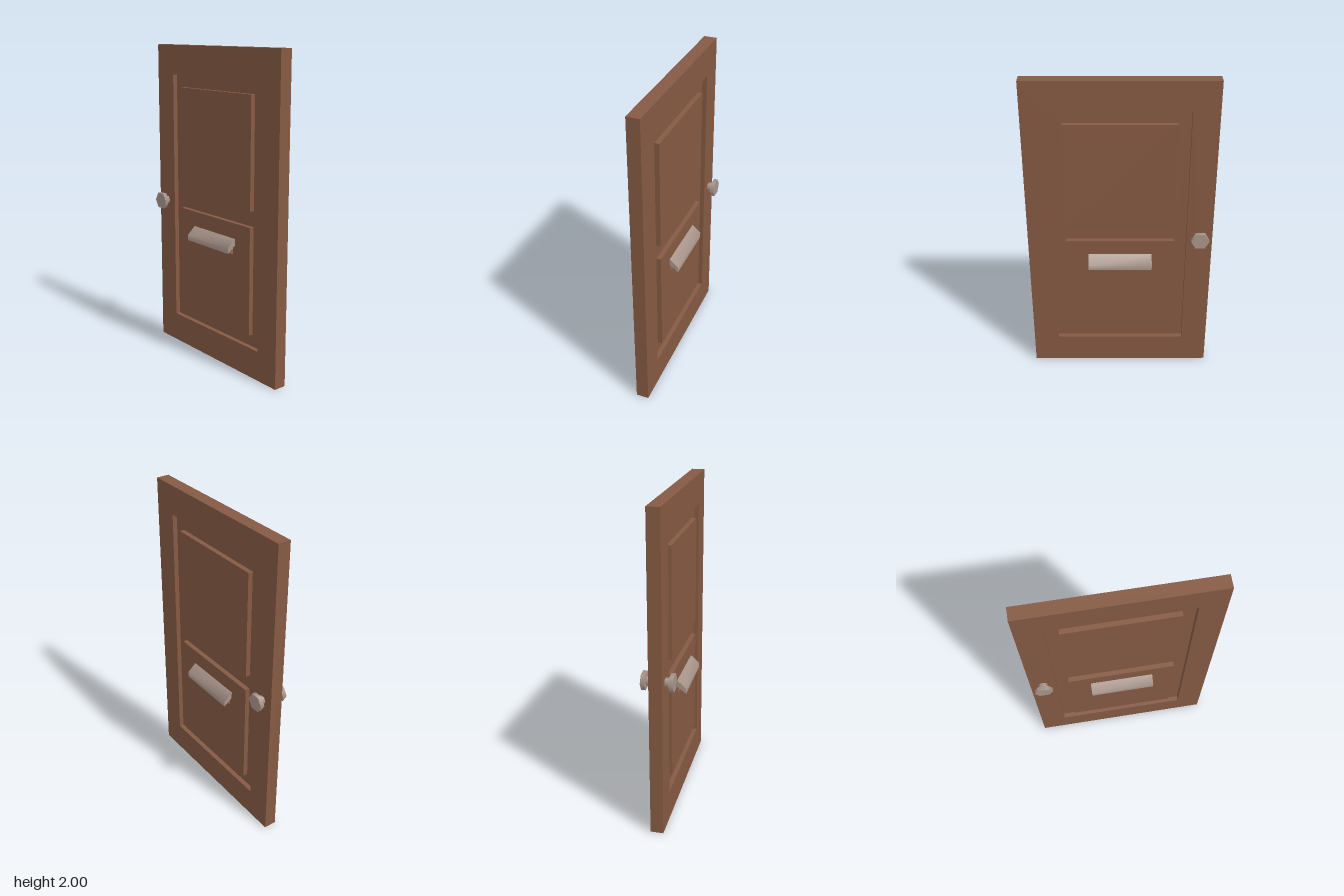
import * as THREE from 'three';
import { toCreasedNormals } from 'three/addons/utils/BufferGeometryUtils.js';

const THICK = 0.08;

function trace(path, w, y0, y1) {
  path.moveTo(-w, y0);
  path.lineTo(w, y0);
  path.lineTo(w, y1);
  path.lineTo(-w, y1);
  path.closePath();
  return path;
}

// Upright slab facing +x and -x, with rectangular openings; rect = [halfWidth, bottom, top]
function slab(name, rect, holes, depth, material) {
  const shape = trace(new THREE.Shape(), ...rect);
  for (const h of holes) shape.holes.push(trace(new THREE.Path(), ...h));
  const geo = new THREE.ExtrudeGeometry(shape, { depth, bevelEnabled: false });
  geo.translate(0, 0, -depth / 2).rotateY(Math.PI / 2);
  const mesh = new THREE.Mesh(geo, material);
  mesh.name = name;
  return mesh;
}

export function createModel() {
  const wood = new THREE.MeshStandardMaterial({ color: 0x855a43 });
  wood.name = 'brown wood';
  const metal = new THREE.MeshStandardMaterial({ color: 0xa8958b });
  metal.name = 'warm grey metal';

  const model = new THREE.Group();
  model.name = 'panelled door';

  // Door leaf: frame, recessed web and two raised panels
  const recess = [0.415, 0.19, 1.815];
  const upper = [0.337, 1.05, 1.737];
  const lower = [0.337, 0.268, 0.952];
  const slot = [0.185, 0.753, 0.815];
  model.add(
    slab('doorFrame', [0.576, 0, 2], [recess], THICK, wood),
    slab('recessedWeb', recess, [upper, lower], 0.02, wood),
    slab('upperPanel', upper, [], THICK, wood),
    slab('lowerPanel', lower, [slot], THICK, wood)
  );

  // Letter flap profile, sloping out and down over the slot
  const profile = new THREE.Shape([
    new THREE.Vector2(0.04, 0.855), new THREE.Vector2(0.04, 0.812),
    new THREE.Vector2(0.095, 0.77), new THREE.Vector2(0.095, 0.806),
  ]);
  const extruded = new THREE.ExtrudeGeometry(profile, { depth: 0.4, bevelEnabled: false });
  const flapGeo = toCreasedNormals(extruded.translate(0, 0, -0.2), 1.0);

  // Six-sided knob parts lying along x
  const stemGeo = new THREE.CylinderGeometry(0.028, 0.028, 0.032, 6).rotateZ(-Math.PI / 2);
  const knobGeo = new THREE.CylinderGeometry(0.057, 0.057, 0.026, 6).rotateZ(-Math.PI / 2);

  // The same fittings on both faces
  for (const side of [1, -1]) {
    const label = side > 0 ? 'left' : 'right';
    const flap = new THREE.Mesh(flapGeo, metal);
    flap.name = label + 'LetterFlap';
    flap.rotation.y = side > 0 ? 0 : Math.PI;

    const handle = new THREE.Group();
    handle.name = label + 'Knob';
    const stem = new THREE.Mesh(stemGeo, metal);
    stem.name = 'knobStem';
    stem.position.x = side * 0.055;
    const grip = new THREE.Mesh(knobGeo, metal);
    grip.name = 'knobGrip';
    grip.position.x = side * 0.083;
    handle.position.set(0, 0.98, -0.497);
    handle.add(stem, grip);
    model.add(flap, handle);
  }
  return model;
}
